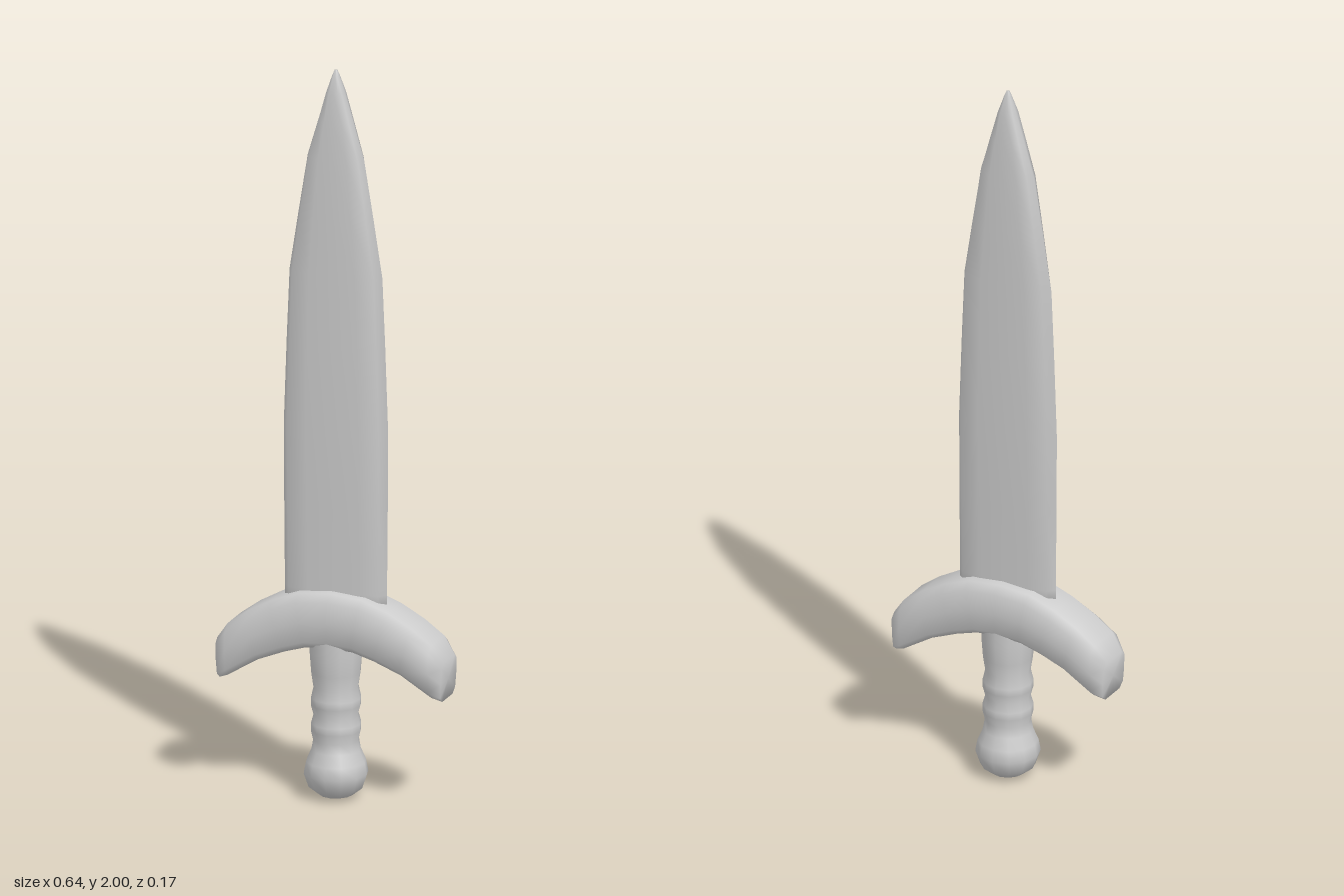
import * as THREE from 'three';

const material = new THREE.MeshStandardMaterial({ color: 0xcccccc });

// Skin a list of equal-length rings of [x, y, z] and close both ends.
function loft(rings) {
  const n = rings[0].length;
  const positions = rings.flat(2);
  const index = [];
  for (let i = 0; i < rings.length - 1; i++) {
    for (let j = 0; j < n; j++) {
      const k = (j + 1) % n;
      const a = i * n + j, b = i * n + k;
      index.push(a, b, a + n, b, b + n, a + n);
    }
  }
  const cap = (i, end) => {
    const centre = [0, 1, 2].map(c => rings[i].reduce((s, p) => s + p[c], 0) / n);
    const m = positions.length / 3;
    positions.push(...centre);
    for (let j = 0; j < n; j++) {
      const a = i * n + j, b = i * n + (j + 1) % n;
      if (end) index.push(m, a, b);
      else index.push(m, b, a);
    }
  };
  cap(0, false);
  cap(rings.length - 1, true);
  const geometry = new THREE.BufferGeometry();
  geometry.setAttribute('position', new THREE.Float32BufferAttribute(positions, 3));
  geometry.setIndex(index);
  geometry.computeVertexNormals();
  return geometry;
}

function addPart(group, name, geometry) {
  const mesh = new THREE.Mesh(geometry, material);
  mesh.name = name;
  group.add(mesh);
}

// Flat blade with bevelled edges: height, half width, half thickness
function bladeGeometry() {
  const outline = [[1, 0], [0.88, -0.75], [0.5, -1], [0, -1], [-0.5, -1], [-0.88, -0.75],
    [-1, 0], [-0.88, 0.75], [-0.5, 1], [0, 1], [0.5, 1], [0.88, 0.75]];
  const sections = [
    [0.5, 0.143, 0.024], [0.57, 0.143, 0.025], [0.8, 0.145, 0.029], [1.02, 0.146, 0.033],
    [1.25, 0.138, 0.033], [1.44, 0.13, 0.033], [1.6, 0.105, 0.032], [1.76, 0.079, 0.03],
    [1.86, 0.049, 0.026], [1.94, 0.025, 0.021], [1.985, 0.01, 0.008], [2, 0.004, 0.003]];
  return loft(sections.map(([y, w, t]) => outline.map(([x, z]) => [x * w, y, z * t])));
}

// Curved crossguard: slanted sections, top point, bottom point, half depth
function guardGeometry() {
  const half = [
    [0, 0.572, 0, 0.422, 0.077], [0.09, 0.564, 0.065, 0.418, 0.077],
    [0.164, 0.536, 0.125, 0.4, 0.077], [0.23, 0.5, 0.2, 0.37, 0.077],
    [0.285, 0.46, 0.285, 0.318, 0.077], [0.318, 0.415, 0.312, 0.306, 0.059]];
  const mirrored = half.slice(1).reverse().map(([a, b, c, d, h]) => [-a, b, -c, d, h]);
  // Rounded rectangle from top to bottom: fraction down, fraction of depth
  const side = [[0, 0], [0, 0.65], [0.13, 0.95], [0.5, 1], [0.87, 0.95], [1, 0.65], [1, 0]];
  const back = side.slice(1, -1).reverse().map(([v, z]) => [v, -z]);
  const outline = [...side, ...back];
  return loft([...mirrored, ...half].map(([tx, ty, bx, by, h]) =>
    outline.map(([v, z]) => [tx + (bx - tx) * v, ty + (by - ty) * v, z * h])));
}

// Turned grip with ridges, ending in a round pommel
function handleGeometry() {
  const profile = [
    [0, 0], [0.045, 0.008], [0.073, 0.03], [0.086, 0.068], [0.08, 0.1], [0.066, 0.132],
    [0.061, 0.16], [0.067, 0.185], [0.067, 0.205], [0.06, 0.23], [0.067, 0.255],
    [0.067, 0.275], [0.06, 0.305], [0.066, 0.345], [0.07, 0.4], [0.07, 0.46]];
  return new THREE.LatheGeometry(profile.map(([r, y]) => new THREE.Vector2(r, y)), 12);
}

export function createModel() {
  const group = new THREE.Group();
  group.name = 'dagger';
  addPart(group, 'blade', bladeGeometry());
  addPart(group, 'crossguard', guardGeometry());
  addPart(group, 'handle', handleGeometry());
  return group;
}
